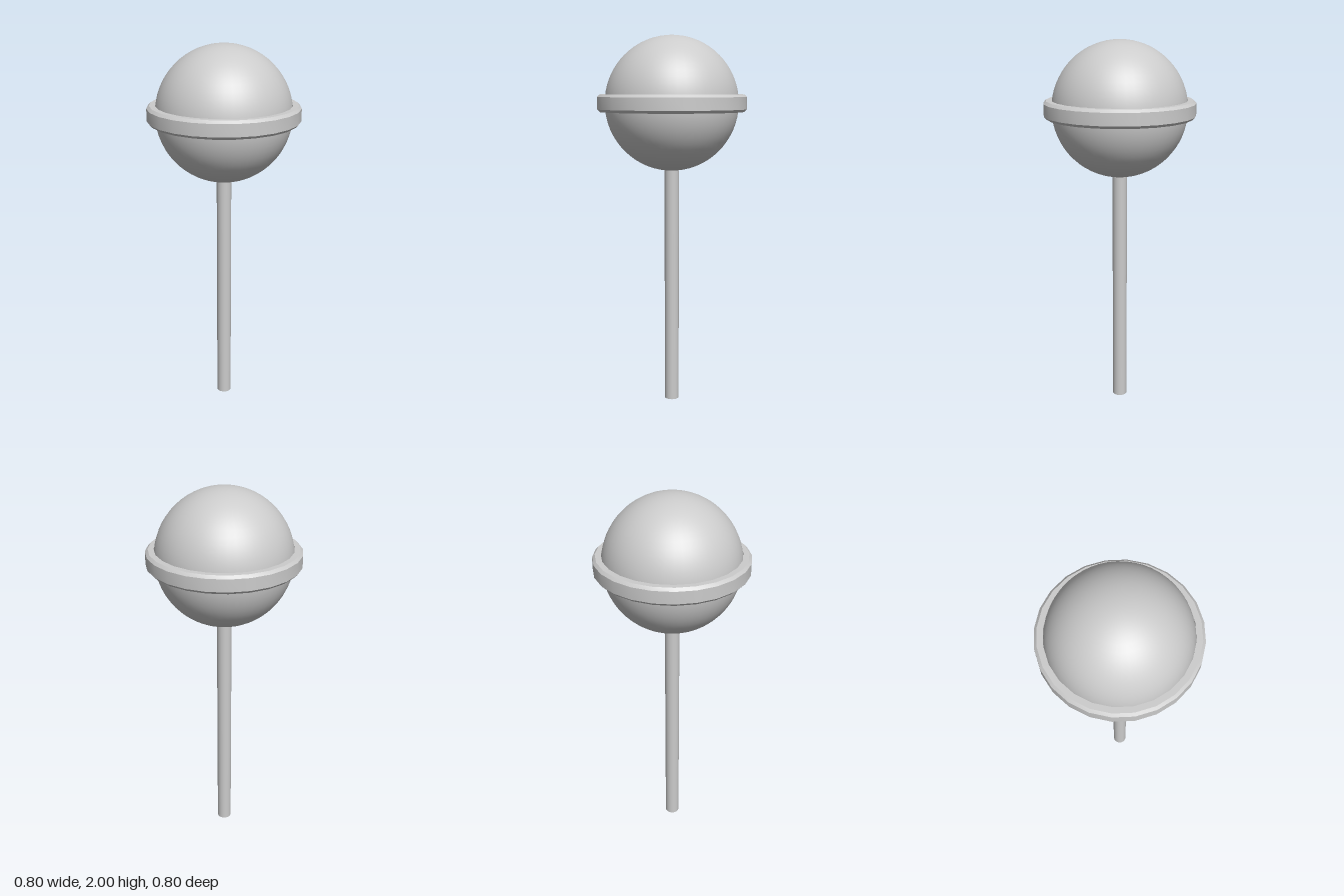
import * as THREE from 'three';
import { toCreasedNormals } from 'three/addons/utils/BufferGeometryUtils.js';

export function createModel() {
  const group = new THREE.Group();
  const material = new THREE.MeshStandardMaterial({ color: 0xcccccc });
  const add = (name, geometry, y) => {
    const mesh = new THREE.Mesh(geometry, material);
    mesh.name = name;
    mesh.position.y = y;
    group.add(mesh);
  };

  // Round candy ball
  add('candyBall', new THREE.SphereGeometry(0.355, 48, 32), 1.645);

  // Chamfered band around the equator, closed profile
  const inner = 0.354, outer = 0.398, half = 0.046, bevel = 0.014;
  const profile = [
    [inner, -half], [outer - bevel, -half], [outer, -half + bevel],
    [outer, half - bevel], [outer - bevel, half], [inner, half], [inner, -half],
  ].map(([r, y]) => new THREE.Vector2(r, y));
  add('candyBand', toCreasedNormals(new THREE.LatheGeometry(profile, 24), Math.PI / 6), 1.648);

  // Stick, running a little way into the ball
  const stickHeight = 1.34;
  add('stick', new THREE.CylinderGeometry(0.039, 0.039, stickHeight, 20), stickHeight / 2);

  return group;
}
